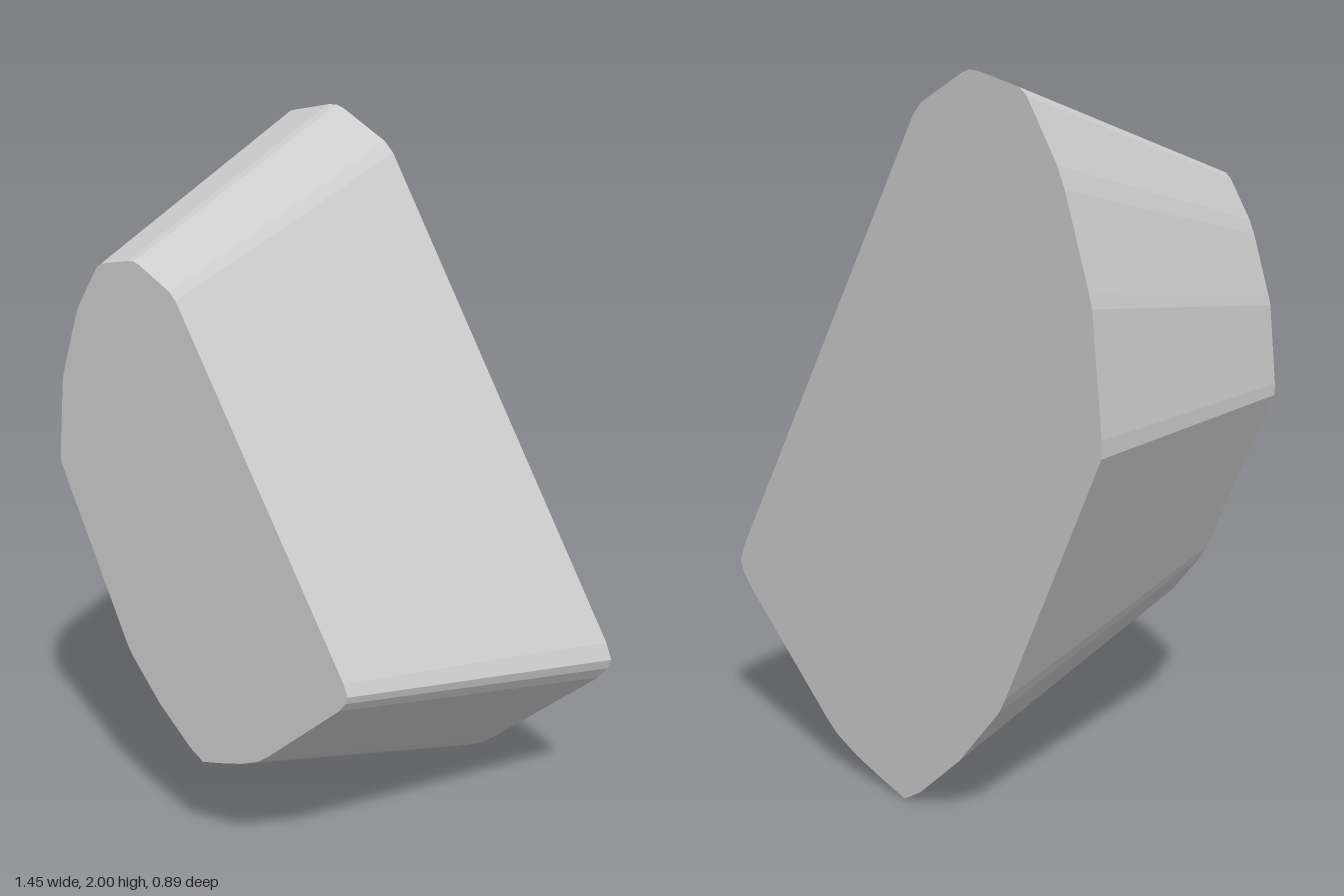
import * as THREE from 'three';

// Outline of the wide back face, counter-clockwise seen from the front
const OUTLINE = [
  [0, 0], [0.11, 0.033], [0.205, 0.065], [0.29, 0.105], [0.335, 0.14],
  [0.685, 0.46], [0.715, 0.5], [0.725, 0.53], [0.705, 0.58],
  [-0.075, 1.885], [-0.105, 1.915], [-0.255, 1.993], [-0.28, 2],
  [-0.31, 1.998], [-0.45, 1.965], [-0.475, 1.945], [-0.575, 1.79],
  [-0.6, 1.735], [-0.68, 1.5], [-0.69, 1.465], [-0.725, 1.155], [-0.725, 1.11],
  [-0.4, 0.41], [-0.375, 0.365], [-0.225, 0.185], [-0.065, 0.04],
];
const DEPTH = 0.89;
const TAPER = 0.7; // size of the front face relative to the back

export function createModel() {
  const group = new THREE.Group();
  group.name = 'taperedBlock';

  const stone = new THREE.MeshStandardMaterial({ color: 0xcccccc });
  stone.name = 'light grey';

  const shape = new THREE.Shape(OUTLINE.map(([x, y]) => new THREE.Vector2(x, y)));
  const geometry = new THREE.ExtrudeGeometry(shape, { depth: DEPTH, bevelEnabled: false });
  geometry.translate(0, 0, -DEPTH / 2);

  // Shrink and shift the front outline to slope the sides
  const pos = geometry.attributes.position;
  for (let i = 0; i < pos.count; i++) {
    if (pos.getZ(i) > 0) {
      pos.setX(i, pos.getX(i) * TAPER - 0.05);
      pos.setY(i, pos.getY(i) * TAPER + 0.32);
    }
  }
  geometry.computeVertexNormals();

  const block = new THREE.Mesh(geometry, stone);
  block.name = 'block';
  group.add(block);
  return group;
}
